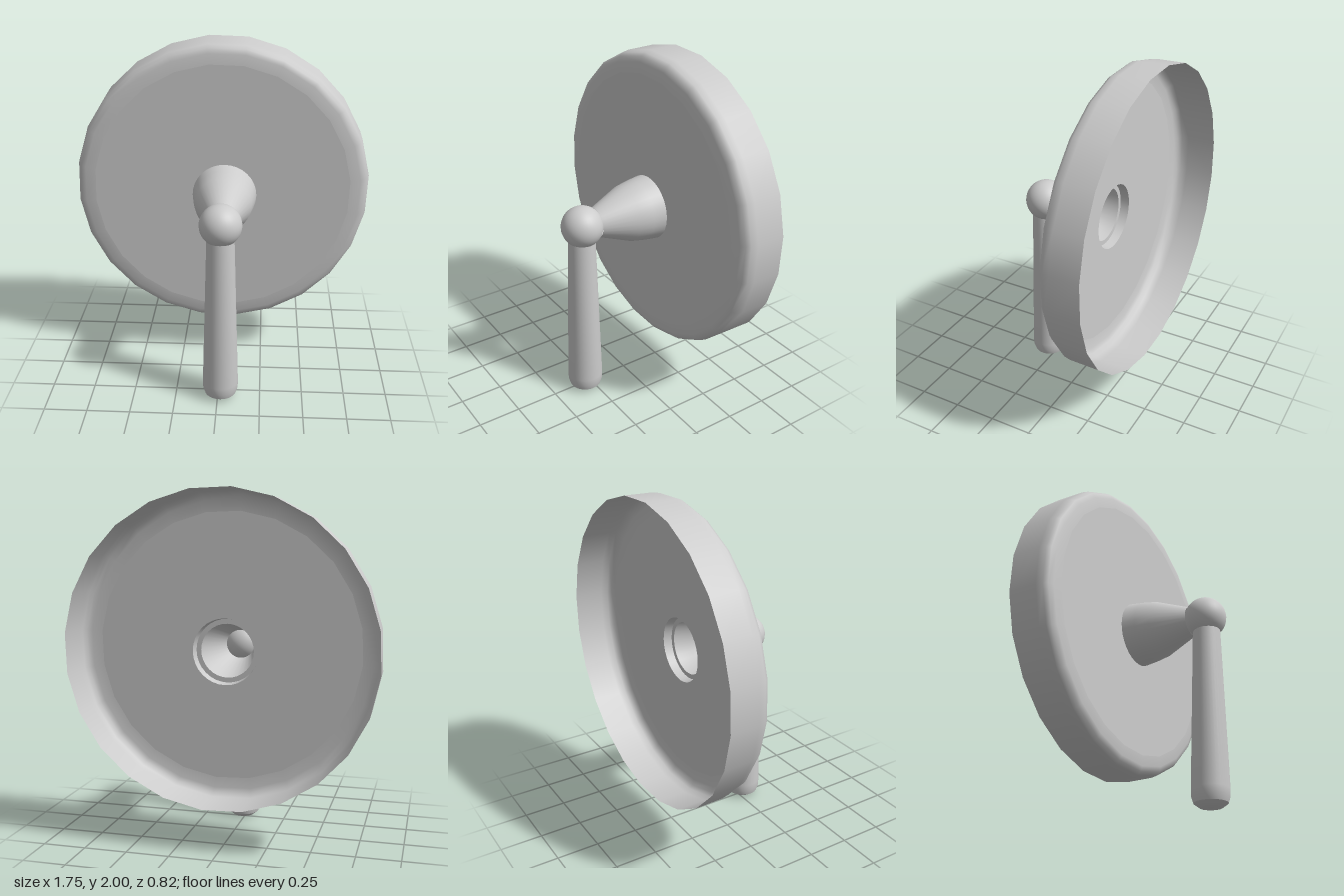
import * as THREE from 'three';
import { toCreasedNormals } from 'three/addons/utils/BufferGeometryUtils.js';

const CX = 0.016, CY = 1.1; // axis of the hub and knob

export function createModel() {
  const group = new THREE.Group();
  const metal = new THREE.MeshStandardMaterial({ color: 0xcccccc, side: THREE.DoubleSide });
  metal.name = 'grey metal';

  const turned = (profile, sides, phase = 0) =>
    new THREE.LatheGeometry(profile.map(([r, h]) => new THREE.Vector2(r, h)), sides, phase);
  const add = (name, geometry, x, y, z) => {
    const mesh = new THREE.Mesh(geometry, metal);
    mesh.name = name;
    mesh.position.set(x, y, z);
    group.add(mesh);
    return mesh;
  };

  // Hollow rim with a rounded front edge, open at the back
  const rim = turned([
    [0.878, -0.41], [0.875, -0.24], [0.867, -0.2], [0.85, -0.177], [0.82, -0.165], [0.76, -0.16],
  ], 24, THREE.MathUtils.degToRad(5.6));
  add('rim', rim.rotateX(Math.PI / 2), 0, 1.125, 0);

  // Front plate pierced by the hub opening
  const plate = new THREE.Shape();
  for (let i = 0; i < 24; i++) {
    const a = THREE.MathUtils.degToRad(5.6 + i * 15);
    const x = 0.76 * Math.cos(a), y = 0.76 * Math.sin(a);
    if (i) plate.lineTo(x, y); else plate.moveTo(x, y);
  }
  plate.closePath();
  const opening = new THREE.Path();
  opening.absarc(CX, CY - 1.125, 0.19, 0, Math.PI * 2, true);
  plate.holes.push(opening);
  add('frontPlate', new THREE.ShapeGeometry(plate, 16), 0, 1.125, -0.16);

  // Tapered hollow hub, with a ledge inside its mouth
  const hub = turned([[0.19, -0.16], [0.18, -0.08], [0.165, 0], [0.085, 0.2]], 32);
  add('hub', toCreasedNormals(hub.rotateX(Math.PI / 2), 0.6), CX, CY, 0);
  add('hubLedge', new THREE.RingGeometry(0.155, 0.183, 32), CX, CY, -0.11);

  // Ball joint
  add('ball', new THREE.SphereGeometry(0.12, 32, 20), CX, CY, 0.288);

  // Hanging handle, widening downward to a chamfered end
  const handle = turned([
    [0, 0], [0.062, 0.003], [0.092, 0.025], [0.103, 0.06], [0.104, 0.1], [0.078, 1.02],
  ], 32);
  add('handle', toCreasedNormals(handle, 0.6), CX, 0, 0.293);

  return group;
}
